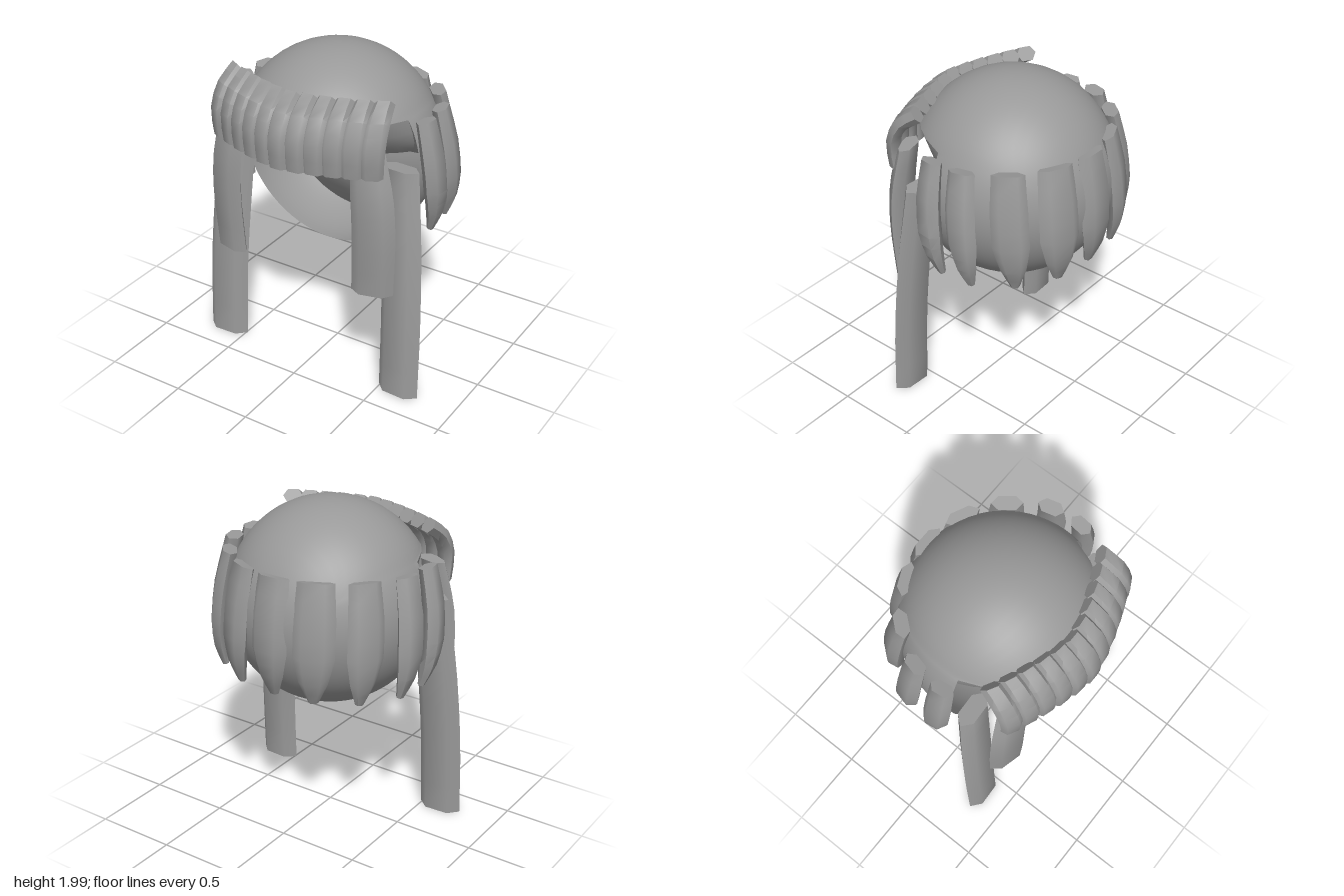
import * as THREE from 'three';
import { toCreasedNormals } from 'three/addons/utils/BufferGeometryUtils.js';

const hair = new THREE.MeshStandardMaterial({ color: 0x999999, side: THREE.DoubleSide });
hair.name = 'hairGrey';

const CY = 1.385, R = 0.615;              // skull sphere
const FACE_Z = 0.1, HAIRLINE_Y = 1.7;     // face opening cut from the sphere
const BROW_Y = 1.38;                      // lower edge of the brow underside
const WALL_Z = -0.25, WALL_BULGE = 0.3;   // scalp wall closing the cap behind the face

function build(pos, idx) {
  const g = new THREE.BufferGeometry();
  g.setAttribute('position', new THREE.Float32BufferAttribute(pos, 3));
  g.setIndex(idx);
  return g;
}

function addMesh(group, name, geo) {
  const m = new THREE.Mesh(geo, hair);
  m.name = name;
  group.add(m);
  return m;
}

// Hexagonal lock swept along a path; widths and depths are interpolated along it
function lock(points, widths, depths, yaw, steps = 8) {
  const curve = new THREE.CatmullRomCurve3(points.map(p => new THREE.Vector3(...p)));
  const section = [[1, 0], [0.55, 0.9], [-0.55, 0.9], [-1, 0], [-0.55, -0.9], [0.55, -0.9]];
  const n = section.length, pos = [], idx = [];
  const at = (a, u) => {
    const f = u * (a.length - 1), i = Math.min(Math.floor(f), a.length - 2);
    return THREE.MathUtils.lerp(a[i], a[i + 1], f - i);
  };
  const w = new THREE.Vector3(Math.cos(yaw), 0, -Math.sin(yaw));
  for (let r = 0; r <= steps; r++) {
    const u = r / steps, c = curve.getPoint(u);
    const d = w.clone().cross(curve.getTangent(u)).normalize();
    for (const [a, b] of section) {
      const p = c.clone().addScaledVector(w, a * at(widths, u) / 2).addScaledVector(d, b * at(depths, u) / 2);
      pos.push(p.x, p.y, p.z);
    }
  }
  for (let r = 0; r < steps; r++) for (let i = 0; i < n; i++) {
    const a = r * n + i, b = r * n + (i + 1) % n;
    idx.push(a, a + n, b, b, a + n, b + n);
  }
  for (let i = 1; i < n - 1; i++) {
    const e = steps * n;
    idx.push(0, i, i + 1, e, e + i + 1, e + i);
  }
  return toCreasedNormals(build(pos, idx), 0.95);
}

// Point on the skull sphere, with its pole at the back
function onSphere(theta, phi) {
  return [R * Math.sin(theta) * Math.cos(phi), CY + R * Math.sin(theta) * Math.sin(phi), -R * Math.cos(theta)];
}

// Angle at which the sphere meets the face opening
function openingAngle(phi) {
  let t = Math.PI / 2;
  for (; t < Math.PI; t += 0.002) {
    const [, y, z] = onSphere(t, phi);
    if (z > FACE_Z && y < HAIRLINE_Y) break;
  }
  return t;
}

const SIDES = 96, RINGS = 20;

// Sphere open at the face
function capShell() {
  const pos = [], idx = [], n = RINGS + 1;
  for (let i = 0; i < SIDES; i++) {
    const phi = i / SIDES * Math.PI * 2, end = openingAngle(phi);
    for (let j = 0; j <= RINGS; j++) pos.push(...onSphere(end * j / RINGS, phi));
  }
  for (let i = 0; i < SIDES; i++) for (let j = 0; j < RINGS; j++) {
    const a = i * n + j, b = ((i + 1) % SIDES) * n + j;
    idx.push(a, b, a + 1, b, b + 1, a + 1);
  }
  const g = build(pos, idx);
  g.computeVertexNormals();
  return g;
}

const wallRadius = Math.sqrt(R * R - WALL_Z * WALL_Z) - 0.004;
const wallZ = (x, y) => WALL_Z + WALL_BULGE * (1 - (x * x + (y - CY) ** 2) / wallRadius ** 2);

// Lower half disc, bulging towards the face
function scalpWall() {
  const g = new THREE.RingGeometry(0.001, wallRadius, 32, 8, Math.PI, Math.PI);
  g.translate(0, CY, 0);
  const p = g.attributes.position;
  for (let i = 0; i < p.count; i++) p.setZ(i, wallZ(p.getX(i), p.getY(i)));
  g.computeVertexNormals();
  return g;
}

// Rounded surface sloping down and back from the hairline to the brow edge
function browUnderside() {
  const pos = [], idx = [], cols = SIDES / 2, rows = 5, n = rows + 1;
  for (let i = 0; i <= cols; i++) {
    const phi = i / cols * Math.PI;
    const [x, y, z] = onSphere(openingAngle(phi), phi);
    const endX = x * 0.75, endZ = wallZ(endX, BROW_Y);
    for (let j = 0; j <= rows; j++) {
      const t = j / rows, swell = 4 * t * (1 - t), lerp = THREE.MathUtils.lerp;
      pos.push(lerp(x, endX, t) + x * 0.1 * swell,
        lerp(y, BROW_Y, t) - 0.17 * swell * (y - BROW_Y), lerp(z, endZ, t));
    }
  }
  for (let i = 0; i < cols; i++) for (let j = 0; j < rows; j++) {
    const a = i * n + j, b = a + n;
    idx.push(a, b, a + 1, b, b + 1, a + 1);
  }
  return toCreasedNormals(build(pos, idx), 0.6);
}

export function createModel() {
  const model = new THREE.Group();
  model.name = 'hairstyle';

  // Skull cap, open at the face
  const cap = new THREE.Group();
  cap.name = 'skullCap';
  model.add(cap);
  addMesh(cap, 'capShell', capShell());
  addMesh(cap, 'scalpWall', scalpWall());
  addMesh(cap, 'browUnderside', browUnderside());

  // Fringe of overlapping locks curving across the forehead
  const fringe = new THREE.Group();
  fringe.name = 'fringe';
  model.add(fringe);
  for (let i = -5; i <= 5; i++) {
    const x = i * 0.1, back = 0.155 * Math.pow(Math.abs(i) / 5, 1.4);
    const path = [[x * 0.96, 1.845, 0.445 - back], [x, 1.765, 0.55 - back],
      [x * 1.02, 1.64, 0.61 - back], [x * 1.01, 1.475, 0.605 - back]];
    addMesh(fringe, 'fringeLock', lock(path, [0.12, 0.135, 0.135, 0.125], [0.095, 0.09, 0.08, 0.07], i * 0.1, 6));
  }

  // Tapered locks around the back and sides, their tops sunk into the cap
  const backLocks = new THREE.Group();
  backLocks.name = 'backLocks';
  model.add(backLocks);
  const widths = [0.24, 0.24, 0.21, 0.18, 0.165], angles = [0, 0.44, 0.88, 1.32, 1.69];
  for (let i = -4; i <= 4; i++) {
    const k = Math.abs(i), a = Math.sign(i) * angles[k], wide = widths[k];
    const stretch = 1 + 0.14 * Math.abs(Math.sin(a));
    const path = [[1.695, 0.545, 0], [1.48, 0.585, 0.01], [1.27, 0.6, 0.03], [1.12, 0.59, 0.05], [0.99, 0.56, 0.065]]
      .map(([y, r, drift]) => [Math.sin(a) * r * stretch, y, -Math.cos(a) * r - drift * Math.abs(Math.sin(a))]);
    addMesh(backLocks, 'backLock',
      lock(path, [wide * 0.88, wide, wide, wide * 0.7, wide * 0.25], [0.09, 0.11, 0.11, 0.085, 0.04], -a));
  }

  // Paired locks framing the face
  for (const s of [-1, 1]) {
    addMesh(model, s > 0 ? 'leftFrontLock' : 'rightFrontLock',
      lock([[s * 0.45, 1.6, 0.405], [s * 0.49, 1.35, 0.425], [s * 0.505, 1.1, 0.425], [s * 0.492, 0.72, 0.408]],
        [0.2, 0.25, 0.255, 0.25], [0.09, 0.105, 0.105, 0.1], s * 0.25));
    addMesh(model, s > 0 ? 'leftLongLock' : 'rightLongLock',
      lock([[s * 0.55, 1.45, 0.215], [s * 0.59, 1.0, 0.255], [s * 0.617, 0.5, 0.29], [s * 0.623, 0.01, 0.31]],
        [0.24, 0.265, 0.27, 0.27], [0.12, 0.125, 0.125, 0.125], s * -0.05));
  }
  return model;
}
